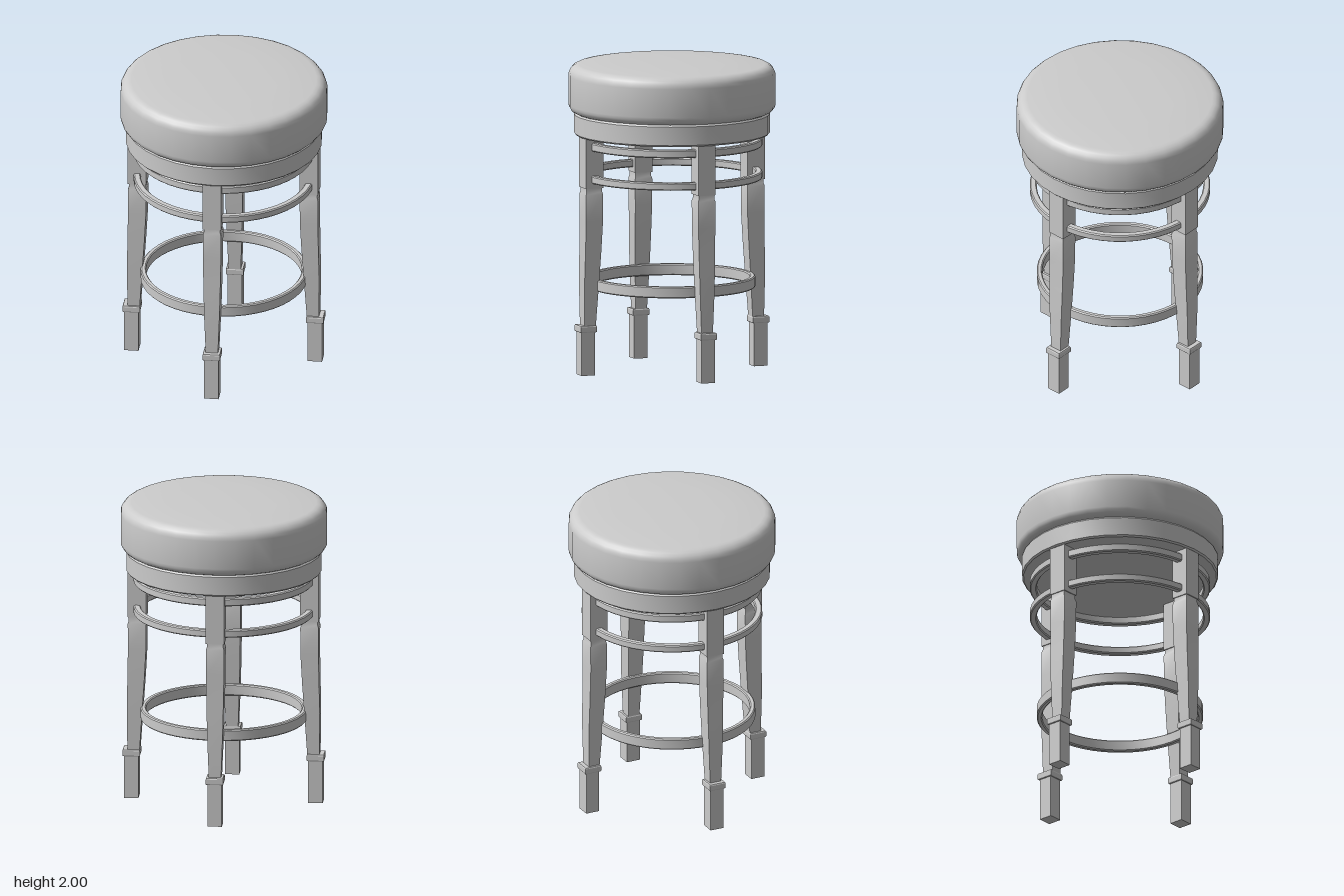
import * as THREE from 'three';
import { toCreasedNormals } from 'three/addons/utils/BufferGeometryUtils.js';

const material = new THREE.MeshStandardMaterial({ color: 0xcccccc });
const SEGMENTS = 32;

function addMesh(parent, name, geometry) {
  const mesh = new THREE.Mesh(geometry, material);
  mesh.name = name;
  parent.add(mesh);
  return mesh;
}

// Round part turned about the y axis from [radius, y] points
function turned(points, segments = SEGMENTS) {
  const profile = points.map(([r, y]) => new THREE.Vector2(r, y));
  return toCreasedNormals(new THREE.LatheGeometry(profile, segments), 0.6);
}

// Quarter-round corner, from angle a0 to a1
function corner(cx, cy, r, a0, a1, steps = 5) {
  return Array.from({ length: steps + 1 }, (_, i) => {
    const a = a0 + ((a1 - a0) * i) / steps;
    return [cx + r * Math.cos(a), cy + r * Math.sin(a)];
  });
}

// Closed hoop with slightly chamfered edges
function hoop(outer, thickness, y0, y1, c = 0.007) {
  const inner = outer - thickness;
  return turned([
    [inner + c, y0], [outer - c, y0], [outer, y0 + c], [outer, y1 - c],
    [outer - c, y1], [inner + c, y1], [inner, y1 - c], [inner, y0 + c], [inner + c, y0],
  ], 48);
}

// Square bar through rows of [y, distance from the stool's axis, side], bottom to top
function squareBar(rows) {
  const n = rows.length - 1;
  const box = new THREE.BoxGeometry(1, 1, 1, 1, n, 1);
  const p = box.attributes.position;
  for (let i = 0; i < p.count; i++) {
    const [y, radius, side] = rows[Math.round((p.getY(i) + 0.5) * n)];
    p.setXYZ(i, p.getX(i) * side, y, radius + p.getZ(i) * side);
  }
  return toCreasedNormals(box, 0.3);
}

export function createModel() {
  const stool = new THREE.Group();
  stool.name = 'stool';

  // Padded seat with rounded edges and a faint dome
  addMesh(stool, 'cushion', turned([
    [0, 1.675],
    ...corner(0.61, 1.73, 0.055, -Math.PI / 2, 0),
    ...corner(0.595, 1.915, 0.07, 0, Math.PI / 2),
    [0.36, 1.995], [0.15, 2], [0, 2],
  ]));

  // Round apron under the cushion
  addMesh(stool, 'seatBase', turned([
    [0, 1.535], [0.62, 1.535], [0.63, 1.545], [0.63, 1.665], [0.62, 1.677], [0, 1.677],
  ]));

  // Hoops joining the legs
  addMesh(stool, 'upperRing', hoop(0.58, 0.045, 1.455, 1.508));
  addMesh(stool, 'lowerRing', hoop(0.58, 0.045, 1.245, 1.295));
  addMesh(stool, 'footRing', hoop(0.535, 0.035, 0.54, 0.615));

  // Four legs on the diagonals
  const legParts = {
    legBlock: [[1.213, 0.556, 0.12], [1.54, 0.556, 0.12]],
    legShaft: [
      [0.31, 0.58, 0.078], [0.6, 0.572, 0.1], [0.8, 0.563, 0.109], [1.0, 0.556, 0.116],
      [1.17, 0.556, 0.118], [1.19, 0.556, 0.106], [1.22, 0.556, 0.106],
    ],
    legCollar: [
      [0.28, 0.594, 0.106], [0.286, 0.594, 0.113], [0.316, 0.594, 0.113], [0.323, 0.594, 0.106],
    ],
    foot: [[0, 0.594, 0.093], [0.29, 0.594, 0.093]],
  };
  const names = ['frontLeftLeg', 'backLeftLeg', 'backRightLeg', 'frontRightLeg'];
  names.forEach((name, i) => {
    const leg = new THREE.Group();
    leg.name = name;
    leg.rotation.y = Math.PI / 4 + (i * Math.PI) / 2;
    for (const [part, rows] of Object.entries(legParts)) addMesh(leg, part, squareBar(rows));
    stool.add(leg);
  });

  return stool;
}
